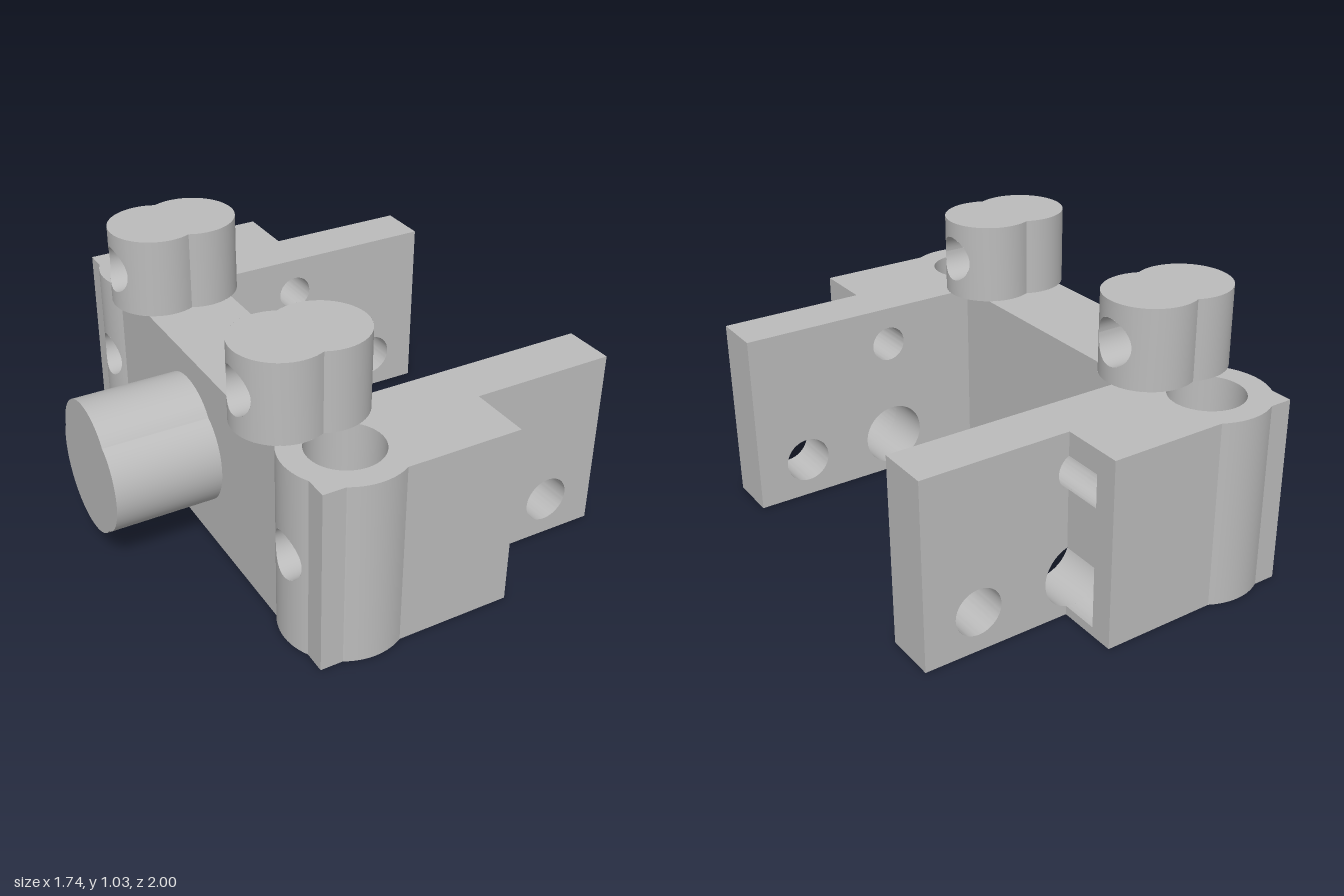
import * as THREE from 'three';
import { toCreasedNormals } from 'three/addons/utils/BufferGeometryUtils.js';
import { ParametricGeometry } from 'three/addons/geometries/ParametricGeometry.js';

const H = 0.72;
const metal = new THREE.MeshStandardMaterial({ color: 0xbcbcbc, side: THREE.DoubleSide });
metal.name = 'grey metal';

const rad = (d) => d * Math.PI / 180;
const chord = (R, d) => Math.sqrt(R * R - d * d);
const mix = THREE.MathUtils.lerp;

function add(group, name, geo) {
  const mesh = new THREE.Mesh(geo, metal);
  mesh.name = name;
  group.add(mesh);
  return mesh;
}

// plan points [x, z] along an arc, angles in degrees
function arc(cx, cz, R, from, to) {
  const n = Math.max(3, Math.ceil(Math.abs(to - from) / 6));
  return Array.from({ length: n + 1 }, (_, i) => {
    const a = rad(mix(from, to, i / n));
    return [cx + R * Math.cos(a), cz + R * Math.sin(a)];
  });
}

// upright wall following a plan path; s mirrors it in z
function ribbon(path, y0, y1, s) {
  const pos = [];
  for (let i = 0; i + 1 < path.length; i++) {
    const [x0, z0] = path[i], [x1, z1] = path[i + 1];
    pos.push(x0, y0, s * z0, x1, y0, s * z1, x1, y1, s * z1);
    pos.push(x0, y0, s * z0, x1, y1, s * z1, x0, y1, s * z0);
  }
  const geo = new THREE.BufferGeometry();
  geo.setAttribute('position', new THREE.Float32BufferAttribute(pos, 3));
  return toCreasedNormals(geo, 0.4);
}

// flat horizontal face from a plan outline
function cap(path, holes, y) {
  const shape = new THREE.Shape(path.map((p) => new THREE.Vector2(...p)));
  for (const h of holes) shape.holes.push(new THREE.Path(h.map((p) => new THREE.Vector2(...p))));
  return new THREE.ShapeGeometry(shape).rotateX(Math.PI / 2).translate(0, y, 0);
}

function surface(fn, nu, nv) {
  const geo = new ParametricGeometry((u, v, t) => t.set(...fn(u, v)), nu, nv);
  geo.computeVertexNormals();
  return geo;
}

// strip of an upright cylinder, above and below a cross hole of radius r
function boredStrip(group, name, { cx, cz, R, dir }, y0, y1, yc, r) {
  for (const s of [-1, 1]) {
    add(group, name, surface((u, v) => {
      const d = -r * Math.cos(Math.PI * u);
      const edge = yc + s * r * Math.sin(Math.PI * u);
      return [cx + dir * chord(R, d), mix(edge, s < 0 ? y0 : y1, v), cz + d];
    }, 28, 1));
  }
}

// cross hole lining between two upright cylinder surfaces
function boreLining(group, name, a, b, yc, r) {
  add(group, name, surface((u, v) => {
    const d = r * Math.cos(2 * Math.PI * u);
    const x = mix(a.cx + a.dir * chord(a.R, d), b.cx + b.dir * chord(b.R, d), v);
    return [x, yc + r * Math.sin(2 * Math.PI * u), a.cz + d];
  }, 40, 1));
}

function extrudeZ(shape, z0, z1, s) {
  const geo = new THREE.ExtrudeGeometry(shape, { depth: z1 - z0, bevelEnabled: false, curveSegments: 32 });
  return toCreasedNormals(geo.translate(0, 0, s > 0 ? z0 : -z1), 0.5);
}

function buildCrossbar(group) {
  const C = [-0.26, 0.77], R = 0.23, r = 0.14, bore = 0.09, boreY = 0.36;
  const cut = Math.asin(bore / R) * 180 / Math.PI;
  const cutIn = Math.asin(bore / r) * 180 / Math.PI;
  const outerA = [[-0.11, 0.97], ...arc(...C, R, 60.4, 119.6), [-0.46, 0.97], ...arc(...C, R, 150.4, 180 - cut)];
  const gap = arc(...C, R, 180 - cut, 180 + cut);
  const outerB = [...arc(...C, R, 180 + cut, 209.6), [-0.46, 0]];

  // top and bottom faces
  const half = [...outerA, ...gap.slice(1, -1), ...outerB.slice(0, -1)];
  const outline = [...half, ...half.map(([x, z]) => [x, -z]).reverse()];
  const hole = arc(...C, r, 0, 354);
  const holes = [hole, hole.map(([x, z]) => [x, -z])];
  add(group, 'crossbarTop', cap(outline, holes, H));
  add(group, 'crossbarBottom', cap(outline, holes, 0));

  for (const s of [1, -1]) {
    add(group, 'crossbarOuterWall', ribbon(outerA, 0, H, s));
    add(group, 'crossbarBackWall', ribbon(outerB, 0, H, s));
    add(group, 'crossbarInnerWall', ribbon([[-0.11, 0], [-0.11, 0.53]], 0, H, s));
    add(group, 'pinHole', ribbon(arc(...C, r, 180 + cutIn, 540 - cutIn), 0, H, s));
    // side screw hole into the pin hole
    const outer = { cx: C[0], cz: s * C[1], R, dir: -1 };
    const inner = { ...outer, R: r };
    boredStrip(group, 'bossFace', outer, 0, H, boreY, bore);
    boredStrip(group, 'pinHole', inner, 0, H, boreY, bore);
    boreLining(group, 'screwHole', outer, inner, boreY, bore);
  }
}

function buildArm(group, s) {
  // long inner plate with three through holes
  const plate = new THREE.Shape().moveTo(-0.11, 0).lineTo(0.87, 0).lineTo(0.87, H).lineTo(-0.11, H).closePath();
  const pockets = [[0.265, 0.155, 0.125], [0.27, 0.567, 0.07]];
  for (const [x, y, r] of [...pockets, [0.66, 0.155, 0.09]]) {
    plate.holes.push(new THREE.Path().absarc(x, y, r, 0, Math.PI * 2, true));
  }
  add(group, 'armPlate', extrudeZ(plate, 0.53, 0.73, s));

  // thick shoulder with round pockets open at its end
  const shoulder = new THREE.Shape().moveTo(-0.11, 0).lineTo(0.3, 0);
  for (const [x, y, r] of pockets) {
    const a = Math.acos((0.3 - x) / r);
    shoulder.absarc(x, y, r, -a, a, true);
  }
  shoulder.lineTo(0.3, H).lineTo(-0.11, H).closePath();
  add(group, 'armShoulder', extrudeZ(shoulder, 0.73, 0.88, s));
  add(group, 'armOuterSkin', new THREE.BoxGeometry(0.41, H, 0.09)).position.set(0.095, H / 2, s * 0.925);
}

function buildPost(group, s) {
  const R = 0.177, xs = [-0.362, -0.208], z = 0.512, y0 = H, y1 = 1.03, yc = 0.875, bore = 0.09;
  const meet = Math.acos((xs[1] - xs[0]) / 2 / R) * 180 / Math.PI;
  const cut = Math.asin(bore / R) * 180 / Math.PI;
  const outline = [...arc(xs[0], z, R, meet, 360 - meet), ...arc(xs[1], z, R, meet - 180, 180 - meet).slice(1, -1)]
    .map(([x, zz]) => [x, s * zz]);
  add(group, 'postTop', cap(outline, [], y1));
  add(group, 'postBottom', cap(outline, [], y0 + 0.001));
  add(group, 'postWall', ribbon(arc(xs[0], z, R, meet, 180 - cut), y0, y1, s));
  add(group, 'postWall', ribbon(arc(xs[0], z, R, 180 + cut, 360 - meet), y0, y1, s));
  add(group, 'postWall', ribbon(arc(xs[1], z, R, meet - 180, -cut), y0, y1, s));
  add(group, 'postWall', ribbon(arc(xs[1], z, R, cut, 180 - meet), y0, y1, s));
  const left = { cx: xs[0], cz: s * z, R, dir: -1 };
  const right = { cx: xs[1], cz: s * z, R, dir: 1 };
  boredStrip(group, 'postWall', left, y0, y1, yc, bore);
  boredStrip(group, 'postWall', right, y0, y1, yc, bore);
  boreLining(group, 'postHole', left, right, yc, bore);
}

// three-lobed stub on the back
function buildStub(group) {
  const creases = [-50, 48, 166, 310], pts = [];
  for (let k = 0; k < 3; k++) {
    for (let i = 0; i < 20; i++) {
      const a = rad(mix(creases[k], creases[k + 1], i / 20));
      const r = 0.24 + 0.022 * Math.pow(Math.sin(Math.PI * i / 20), 0.7);
      pts.push(new THREE.Vector2(-0.015 + r * Math.cos(a), 0.362 + r * Math.sin(a)));
    }
  }
  const geo = new THREE.ExtrudeGeometry(new THREE.Shape(pts), { depth: 0.41, bevelEnabled: false });
  add(group, 'stub', toCreasedNormals(geo.rotateY(-Math.PI / 2).translate(-0.46, 0, 0), 0.35));
}

export function createModel() {
  const model = new THREE.Group();
  model.name = 'bracket';
  const part = (name, build, s) => {
    const g = new THREE.Group();
    g.name = name;
    build(g, s);
    model.add(g);
  };
  part('crossbar', buildCrossbar);
  part('stubGroup', buildStub);
  for (const [side, s] of [['front', 1], ['back', -1]]) {
    part(side + 'Arm', buildArm, s);
    part(side + 'Post', buildPost, s);
  }
  return model;
}
